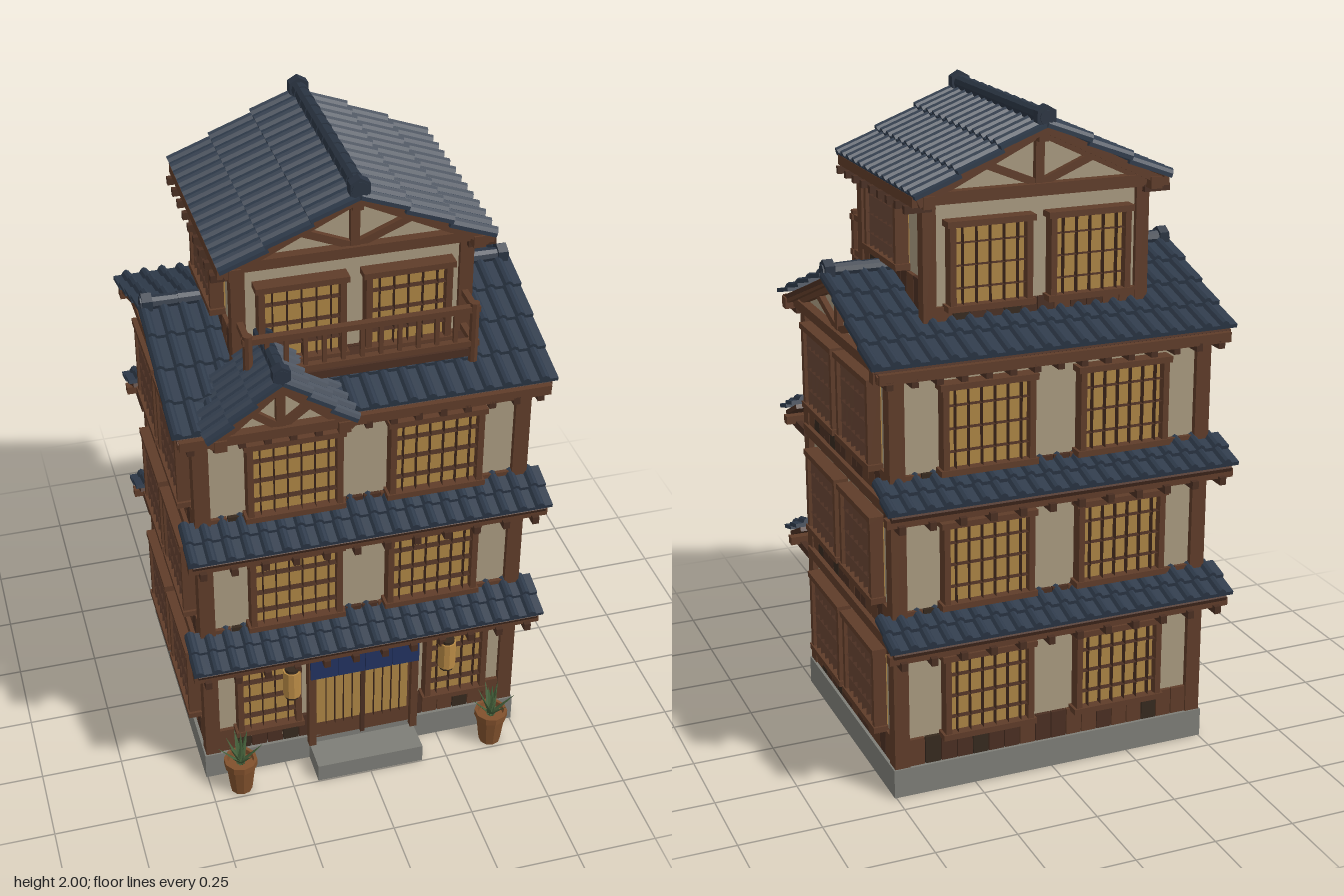
import * as THREE from 'three';

const mat = (color) => new THREE.MeshStandardMaterial({ color, flatShading: true });
const M = {
  tile: mat(0x2f3b4b), ridge: mat(0x2a3442), wood: mat(0x5f3c29), dark: mat(0x4a2f22), deep: mat(0x36291e),
  plaster: mat(0xa8997f), pane: mat(0xab8444), stone: mat(0x7d7d77), cloth: mat(0x223260),
  pot: mat(0x80502c), leaf: mat(0x44603a), lantern: mat(0xb98a45),
};
const finMat = new THREE.MeshStandardMaterial({ color: 0x4a2f22, side: THREE.DoubleSide });
const CZ = -0.02, HX = 0.5, HZ = 0.405; // body centre and half sizes

function add(parent, name, geo, material, x = 0, y = 0, z = 0) {
  const m = new THREE.Mesh(geo, material);
  m.name = name;
  m.position.set(x, y, z);
  parent.add(m);
  return m;
}
const box = (p, name, material, w, h, d, x, y, z) => add(p, name, new THREE.BoxGeometry(w, h, d), material, x, y, z);

function group(parent, name, x = 0, y = 0, z = 0, ry = 0) {
  const g = new THREE.Group();
  g.name = name;
  g.position.set(x, y, z);
  g.rotation.y = ry;
  parent.add(g);
  return g;
}

// Straight timber between two points of a plane facing +z
function timber(p, name, [x0, y0], [x1, y1], t, depth, z, material = M.wood) {
  const m = box(p, name, material, Math.hypot(x1 - x0, y1 - y0), t, depth, (x0 + x1) / 2, (y0 + y1) / 2, z);
  m.rotation.z = Math.atan2(y1 - y0, x1 - x0);
}

// Tiled slope: starts at the ridge, falls towards +z in overlapping rows
function tiledSlope(parent, name, width, run, rise, cols, rows, x, y, z, ry = 0) {
  const g = group(parent, name, x, y, z, ry);
  const len = Math.hypot(run, rise), angle = Math.atan2(rise, run), L = len / rows, pitch = width / cols;
  const roll = [[0, 0.012], [0.12, 0.022], [0.28, 0.027], [0.44, 0.022], [0.56, 0.012]];
  const s = new THREE.Shape();
  s.moveTo(-width / 2, 0);
  for (let c = 0; c < cols; c++) for (const [t, h] of roll) s.lineTo(-width / 2 + (c + t) * pitch, h);
  s.lineTo(width / 2, 0.012);
  s.lineTo(width / 2, 0);
  const geo = new THREE.ExtrudeGeometry(s, { depth: L * 1.04, bevelEnabled: false });
  for (let i = 0; i < rows; i++) {
    const row = add(g, 'tileRow', geo, M.tile, 0, -Math.sin(angle) * i * L, Math.cos(angle) * i * L);
    row.rotation.x = angle - 0.012 / L;
  }
  const deck = box(g, 'roofDeck', M.dark, width - 0.03, 0.014, len - 0.01, 0, -rise / 2 - 0.008, run / 2);
  deck.rotation.x = angle;
  return g;
}

// Ridge of overlapping round tiles along local x, with end blocks
function ridgeCap(parent, length, r, n, x, y, z, ry = 0) {
  const g = group(parent, 'ridge', x, y, z, ry), step = length / n;
  const geo = new THREE.CylinderGeometry(r, r * 0.85, step * 1.08, 10).rotateZ(Math.PI / 2);
  for (let i = 0; i < n; i++) add(g, 'ridgeTile', geo, M.ridge, -length / 2 + (i + 0.5) * step, 0, 0);
  for (const s of [-1, 1]) {
    const end = add(g, 'ridgeEnd', new THREE.CylinderGeometry(r * 1.3, r * 1.3, 0.03, 6).rotateZ(Math.PI / 2), M.ridge, s * (length / 2 - 0.015), 0.003, 0);
    end.rotation.x = Math.PI / 6;
  }
}

// Plastered gable with truss; barge boards stand "out" in front of it
function gable(parent, half, rise, out, x, y, z, ry = 0) {
  const g = group(parent, 'gable', x, y, z, ry);
  const tri = new THREE.Shape([new THREE.Vector2(-half, 0), new THREE.Vector2(half, 0), new THREE.Vector2(0, rise)]);
  add(g, 'gablePlaster', new THREE.ExtrudeGeometry(tri, { depth: 0.02, bevelEnabled: false }), M.plaster, 0, 0, -0.02);
  box(g, 'tieBeam', M.wood, half * 2, 0.03, 0.04, 0, 0.0, 0.01);
  box(g, 'kingPost', M.wood, 0.026, rise, 0.03, 0, rise / 2, 0.005);
  for (const s of [-1, 1]) {
    timber(g, 'strut', [s * 0.01, 0.015], [s * half * 0.48, rise * 0.48], 0.022, 0.025, 0.005);
    timber(g, 'rafter', [s * half, -0.01], [0, rise - 0.01], 0.028, 0.03, 0.008);
    timber(g, 'bargeBoard', [s * (half + 0.02), -0.008], [0, rise + 0.004], 0.024, 0.018, out);
    box(g, 'purlinEnd', M.wood, 0.035, 0.035, out + 0.03, s * (half - 0.01), -0.005, out / 2);
  }
  box(g, 'ridgePurlin', M.wood, 0.03, 0.03, out, 0, rise - 0.02, out / 2);
}

// Framed lattice window; origin at centre on the wall plane, facing +z
function latticeWindow(parent, w, h, x, y) {
  const g = group(parent, 'window', x, y, 0), t = 0.018;
  box(g, 'pane', M.pane, w - t, h - t, 0.02, 0, 0, 0.01);
  for (const s of [-1, 1]) {
    box(g, 'jamb', M.wood, t, h, 0.04, s * (w - t) / 2, 0, 0.026);
    box(g, s > 0 ? 'head' : 'sill', M.wood, w + 0.016, t, 0.046, 0, s * (h - t) / 2, 0.027);
  }
  // thin deep fins
  const v = new THREE.PlaneGeometry(0.022, h - 2 * t).rotateY(Math.PI / 2);
  const hz = new THREE.PlaneGeometry(w - 2 * t, 0.022).rotateX(Math.PI / 2);
  const n = Math.round(w / 0.04);
  for (let i = 1; i < n; i++) add(g, 'latticeUpright', v, finMat, -w / 2 + (w * i) / n, 0, 0.031);
  for (const k of [-0.25, 0, 0.25]) add(g, 'latticeBar', hz, finMat, 0, k * h, 0.031);
}

// Strip of upright boards
function planks(parent, half, y0, y1, skip = 0) {
  const n = Math.round(half / 0.026), w = (2 * half) / n, shades = [M.wood, M.dark, M.wood, M.deep, M.dark];
  for (let i = 0; i < n; i++) {
    const x = -half + (i + 0.5) * w;
    if (Math.abs(x) < skip) continue;
    box(parent, 'plank', shades[(i * 3 + (i >> 2)) % 5], w * 0.94, y1 - y0, 0.012, x, (y0 + y1) / 2, 0.007);
  }
}

function eachSide(fn) { // front, left, back, right
  for (let k = 0; k < 4; k++) fn(k, (k * Math.PI) / 2, k % 2 === 1);
}

function mainBody(root) {
  const body = group(root, 'mainBody', 0, 0, CZ);
  box(body, 'foundation', M.stone, 1.01, 0.09, 0.82, 0, 0.045, 0);
  box(body, 'plasterWalls', M.plaster, 0.965, 1.22, 0.775, 0, 0.7, 0);
  for (const sx of [-1, 1]) for (const sz of [-1, 1]) box(body, 'cornerPost', M.wood, 0.046, 1.23, 0.046, sx * (HX - 0.023), 0.7, sz * (HZ - 0.023));
  const floors = [[0.09, 0.175, 0.305], [0.5, 0.585, 0.72], [0.915, 1.0, 1.13]];
  eachSide((k, ry, side) => {
    const d = side ? HX - 0.0175 : HZ - 0.0175, half = side ? 0.36 : 0.455;
    const g = group(body, 'wallFace', Math.sin(ry) * d, 0, Math.cos(ry) * d, ry);
    floors.forEach(([y0, y1, wy], f) => {
      const entrance = k === 0 && f === 0;
      planks(g, half, y0, y1, entrance ? 0.17 : 0);
      box(g, 'floorBeam', M.wood, half * 2 + 0.05, 0.032, 0.03, 0, [0.48, 0.898, 1.295][f], 0.01);
      for (const s of [-1, 1]) {
        if (entrance) latticeWindow(g, 0.2, 0.27, s * 0.3, wy);
        else latticeWindow(g, side ? 0.285 : 0.28, 0.27, s * (side ? 0.1625 : 0.21), wy);
      }
    });
  });
  // pent roofs between storeys, front and back
  for (const y of [0, 0.415]) for (const ry of [0, Math.PI]) {
    const g = group(body, 'pentRoof', 0, y, 0, ry);
    tiledSlope(g, 'pentTiles', 1.09, 0.125, 0.06, 20, 2, 0, 0.565, 0.38);
    box(g, 'eaveBeam', M.wood, 1.08, 0.026, 0.03, 0, 0.485, 0.475);
    for (let i = 0; i < 12; i++) box(g, 'bracket', M.dark, 0.02, 0.024, 0.13, -0.5 + i / 11, 0.468, 0.44);
  }
  // main roof, ridge from side to side
  for (const ry of [0, Math.PI]) {
    tiledSlope(body, 'mainRoofSlope', 1.12, 0.435, 0.165, 20, 4, 0, 1.485, 0, ry);
    const g = group(body, 'mainEave', 0, 0, 0, ry);
    box(g, 'fascia', M.wood, 1.08, 0.03, 0.02, 0, 1.305, 0.44);
    for (let i = 0; i < 15; i++) box(g, 'rafterEnd', M.dark, 0.02, 0.024, 0.07, -0.51 + (i * 1.02) / 14, 1.285, 0.415);
  }
  ridgeCap(body, 1.1, 0.024, 10, 0, 1.503, 0);
  for (const s of [-1, 1]) gable(body, 0.42, 0.16, 0.04, s * 0.495, 1.31, 0, (s * Math.PI) / 2);
}

function topStorey(root) {
  const top = group(root, 'topStorey', 0, 0, CZ);
  box(top, 'plasterWalls', M.plaster, 0.66, 0.42, 0.53, 0, 1.56, 0);
  for (const sx of [-1, 1]) for (const sz of [-1, 1]) box(top, 'cornerPost', M.wood, 0.04, 0.42, 0.04, sx * 0.328, 1.56, sz * 0.26);
  eachSide((k, ry, side) => {
    const d = side ? 0.33 : 0.265;
    const g = group(top, 'wallFace', Math.sin(ry) * d, 0, Math.cos(ry) * d, ry);
    planks(g, side ? 0.24 : 0.31, 1.38, side ? 1.515 : 1.44);
    box(g, 'wallPlate', M.wood, side ? 0.56 : 0.7, 0.03, 0.034, 0, 1.75, 0.01);
    if (side) latticeWindow(g, 0.27, 0.23, 0, 1.635);
    else for (const s of [-1, 1]) latticeWindow(g, 0.25, 0.26, s * 0.153, 1.56);
  });
  for (const s of [-1, 1]) {
    tiledSlope(top, 'topRoofSlope', 0.68, 0.378, 0.18, 13, 3, 0, 1.935, 0, (s * Math.PI) / 2);
    box(top, 'fascia', M.wood, 0.016, 0.03, 0.64, s * 0.383, 1.755, 0);
    for (let i = 0; i < 9; i++) box(top, 'rafterEnd', M.dark, 0.08, 0.022, 0.018, s * 0.365, 1.73, -0.288 + i * 0.072);
    gable(top, 0.355, 0.17, 0.045, 0, 1.757, s * 0.272, s > 0 ? 0 : Math.PI);
  }
  ridgeCap(top, 0.67, 0.025, 11, 0, 1.962, 0, Math.PI / 2);
}

function balcony(root) {
  const g = group(root, 'balcony');
  box(g, 'balconyFloor', M.dark, 0.67, 0.025, 0.12, 0, 1.425, 0.295);
  for (const y of [1.455, 1.565]) {
    box(g, 'frontRail', M.wood, 0.68, 0.018, 0.022, 0, y, 0.348);
    for (const s of [-1, 1]) box(g, 'sideRail', M.wood, 0.018, 0.018, 0.11, s * 0.325, y, 0.295);
  }
  for (const s of [-1, 1]) add(g, 'railPost', new THREE.CylinderGeometry(0.014, 0.014, 0.19, 8), M.wood, s * 0.325, 1.49, 0.35);
  for (let i = 1; i < 12; i++) box(g, 'baluster', M.wood, 0.012, 0.11, 0.012, -0.325 + (i * 0.65) / 12, 1.51, 0.348);
}

function dormer(root) {
  const g = group(root, 'dormer', -0.262, 0, 0.3675);
  for (const s of [-1, 1]) tiledSlope(g, 'dormerSlope', 0.235, 0.2, 0.165, 5, 3, 0, 1.495, 0, (s * Math.PI) / 2);
  ridgeCap(g, 0.23, 0.022, 5, 0, 1.522, 0, Math.PI / 2);
  gable(g, 0.185, 0.155, 0.03, 0, 1.335, 0.075);
}

function entrance(root) {
  const g = group(root, 'entrance');
  box(g, 'step', M.stone, 0.34, 0.06, 0.13, 0, 0.03, 0.432);
  box(g, 'doorBoard', M.wood, 0.32, 0.38, 0.02, 0, 0.27, 0.38);
  for (const s of [-1, 1]) {
    box(g, 'doorPost', M.wood, 0.022, 0.42, 0.035, s * 0.165, 0.28, 0.395);
    box(g, 'doorPane', M.pane, 0.14, 0.24, 0.01, s * 0.077, 0.265, 0.388);
    const fin = new THREE.PlaneGeometry(0.016, 0.24).rotateY(Math.PI / 2);
    for (let i = 0; i < 4; i++) add(g, 'doorLattice', fin, finMat, s * (0.035 + i * 0.028), 0.265, 0.4);
  }
  box(g, 'doorStile', M.dark, 0.014, 0.38, 0.015, 0, 0.27, 0.394);
  for (let i = 0; i < 4; i++) box(g, 'doorCurtain', M.cloth, 0.085, 0.125, 0.008, -0.1305 + i * 0.087, 0.42, 0.42);
  box(g, 'curtainRod', M.wood, 0.38, 0.012, 0.012, 0, 0.485, 0.42);

  const potProfile = [[0, 0], [0.034, 0], [0.046, 0.1], [0.052, 0.1], [0.052, 0.122], [0.042, 0.122], [0.04, 0.105], [0, 0.105]].map(([x, y]) => new THREE.Vector2(x, y));
  for (const s of [-1, 1]) {
    // hanging lantern
    const l = group(g, 'lantern', s * 0.245, 0.415, 0.473);
    add(l, 'lanternPaper', new THREE.CylinderGeometry(0.027, 0.027, 0.095, 10), M.lantern);
    for (const e of [-1, 1]) add(l, 'lanternCap', new THREE.CylinderGeometry(0.022, 0.022, 0.012, 10), M.deep, 0, e * 0.052, 0);
    // potted plant
    const p = group(g, 'pottedPlant', s * 0.408, 0, 0.458);
    add(p, 'pot', new THREE.LatheGeometry(potProfile, 10), M.pot);
    for (let i = 0; i < 13; i++) {
      const leaf = add(p, 'leaf', new THREE.ConeGeometry(0.014, 0.11, 4).scale(1, 1, 0.35).translate(0, 0.055, 0), M.leaf, 0, 0.105, 0);
      leaf.rotation.set(0.15 + (i % 3) * 0.28, i * 2.4, 0, 'YXZ');
    }
  }
}

export function createModel() {
  const root = new THREE.Group();
  root.name = 'townhouse';
  mainBody(root);
  topStorey(root);
  balcony(root);
  dormer(root);
  entrance(root);
  return root;
}
